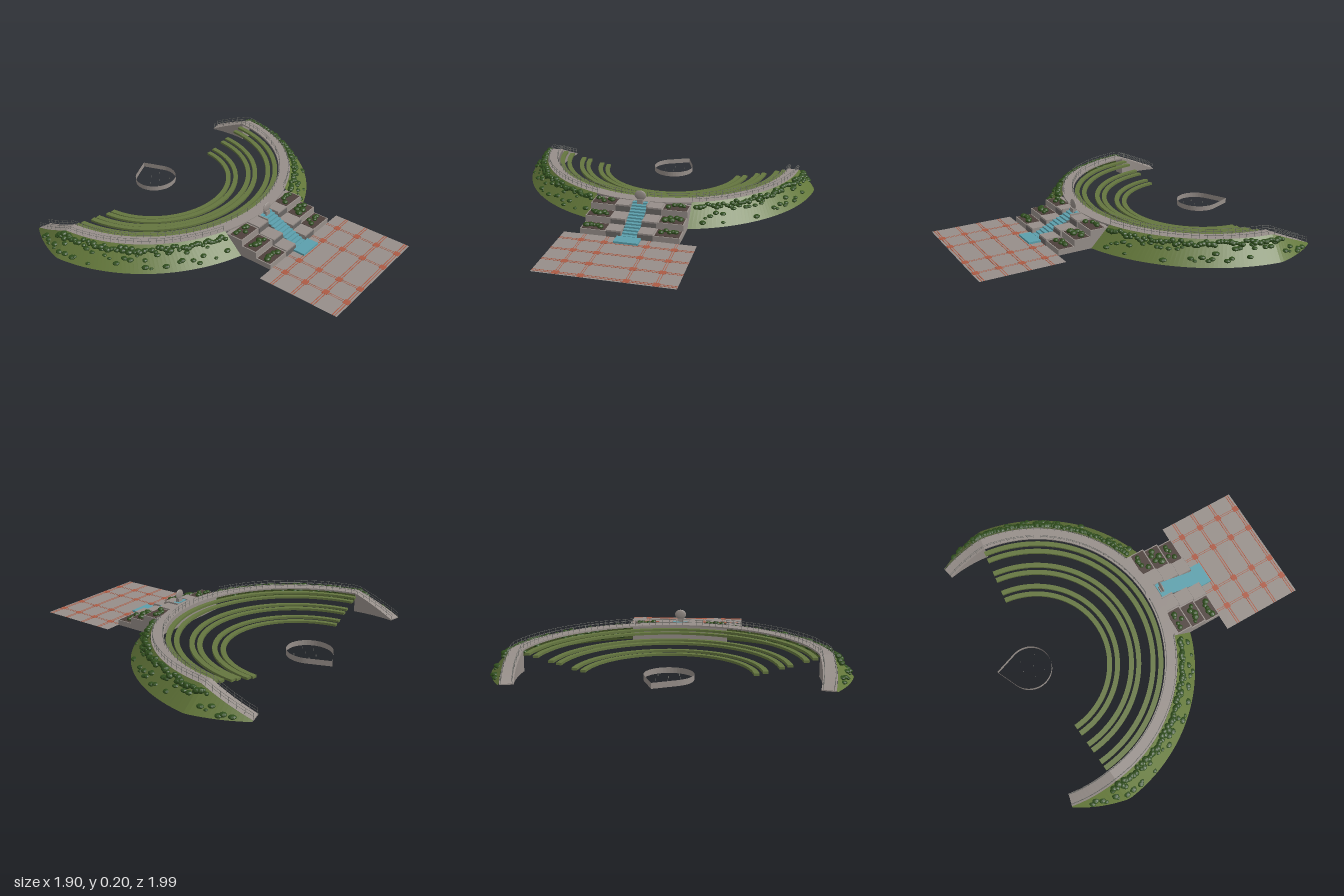
import * as THREE from 'three';

const CX = -0.74, H = 0.125, D = Math.PI / 180;
const RAMP = 84 * D, END = 103 * D;          // where the walkway starts to fall, and where it lands

const mat = (name, color, opts = {}) => Object.assign(new THREE.MeshStandardMaterial({ color, ...opts }), { name });

// Walkway height at an angle from the axis
const heightAt = (a) => {
  const t = Math.max(0, (Math.abs(a) - RAMP) / (END - RAMP));
  return H + (0.006 - H) * Math.min(1, t);
};

// Sweeps a cross-section of [radius, height, angle?] points around the centre of the theatre
function sweep(section, a0, a1, n, closed = true) {
  const pos = [];
  const rows = [];
  for (let i = 0; i <= n; i++) {
    const a = a0 + (a1 - a0) * i / n;
    rows.push(section(a, i / n).map(([r, y, b = a]) => [CX + r * Math.cos(b), y, r * Math.sin(b)]));
  }
  const m = rows[0].length;
  const tri = (a, b, c) => pos.push(...a, ...b, ...c);
  for (let i = 0; i < n; i++) {
    for (let j = 0; j < (closed ? m : m - 1); j++) {
      const k = (j + 1) % m;
      tri(rows[i][j], rows[i][k], rows[i + 1][k]);
      tri(rows[i][j], rows[i + 1][k], rows[i + 1][j]);
    }
  }
  if (closed) {
    for (let j = 1; j < m - 1; j++) {
      tri(rows[0][0], rows[0][j + 1], rows[0][j]);
      tri(rows[n][0], rows[n][j], rows[n][j + 1]);
    }
  }
  const g = new THREE.BufferGeometry();
  g.setAttribute('position', new THREE.Float32BufferAttribute(pos, 3));
  g.computeVertexNormals();
  return g;
}

export function createModel() {
  const model = new THREE.Group();
  model.name = 'amphitheatre';
  const both = { side: THREE.DoubleSide };
  const concrete = mat('concrete', 0x968e89, both);
  const darkStone = mat('darkStone', 0x6a6664);
  const grass = mat('grass', 0x63773a, both);
  const terrace = mat('terraceGrass', 0x64753f);
  const leaf = mat('leaf', 0x2f4d1d, { flatShading: true });
  const soil = mat('soil', 0x4d403b);
  const water = mat('water', 0x5b9fac);
  const brick = mat('brick', 0xac5a44);
  const metal = mat('metal', 0x6f706c);

  const add = (name, geo, material, parent = model) => {
    const mesh = new THREE.Mesh(geo, material);
    mesh.name = name;
    parent.add(mesh);
    return mesh;
  };
  // Box given by its limits
  const box = (name, x0, x1, y0, y1, z0, z1, material, parent = model) => {
    const mesh = add(name, new THREE.BoxGeometry(x1 - x0, y1 - y0, z1 - z0), material, parent);
    mesh.position.set((x0 + x1) / 2, (y0 + y1) / 2, (z0 + z1) / 2);
    return mesh;
  };
  let seed = 7;
  const rnd = () => (seed = (seed * 16807) % 2147483647) / 2147483647;
  const bushGeo = new THREE.IcosahedronGeometry(1, 1);
  const bush = (x, y, z, s, flat, parent) => {
    const b = add('bush', bushGeo, leaf, parent);
    b.position.set(x, y, z);
    b.scale.set(s, s * flat, s * (0.85 + 0.3 * rnd()));
    b.rotation.y = rnd() * 6;
  };

  // Seating terraces: three pairs of curved strips, rising outwards
  [0.457, 0.506, 0.592, 0.637, 0.724, 0.771].forEach((r, i) => {
    const top = [0.025, 0.035, 0.06, 0.07, 0.095, 0.107][i];
    const s = [[r + 0.03, top - 0.014], [r + 0.03, top], [r, top], [r, top - 0.014]];
    add('terrace', sweep(() => s, -84.8 * D, 84.8 * D, 72), terrace);
  });

  // Raised walkway
  const deck = (a) => [[0.885, H - 0.01], [0.885, H], [0.81, H], [0.81, H - 0.01]];
  add('walkway', sweep(deck, -RAMP, RAMP, 80), concrete);

  // Railing along a given radius
  const railing = (r, a0, a1, parent) => {
    const at = (a, up) => new THREE.Vector3(CX + r * Math.cos(a), heightAt(a) + up, r * Math.sin(a));
    const n = Math.round((a1 - a0) / (3 * D));
    for (const up of [0.017, 0.033]) {
      const pts = Array.from({ length: n + 1 }, (_, i) => at(a0 + (a1 - a0) * i / n, up));
      add('handrail', new THREE.TubeGeometry(new THREE.CatmullRomCurve3(pts), n * 2, 0.0012, 4), metal, parent);
    }
    const post = new THREE.CylinderGeometry(0.0013, 0.0013, 0.033, 5);
    for (let i = 0; i <= n; i++) add('railPost', post, metal, parent).position.copy(at(a0 + (a1 - a0) * i / n, 0.0165));
  };

  // Both wings: ramp, bank, railings and planting
  for (const side of [1, -1]) {
    const wing = new THREE.Group();
    wing.name = side > 0 ? 'frontWing' : 'backWing';
    wing.scale.z = side;
    model.add(wing);

    const ramp = (a) => [[0.885, 0], [0.885, heightAt(a)], [0.81, heightAt(a)], [0.81, 0]];
    add('ramp', sweep(ramp, RAMP, END, 12), concrete, wing);

    const foot = (a) => 0.886 + 0.115 * heightAt(a) / H;
    const bank = (a, u) => {
      const from = (r) => { const s = Math.asin(0.3 / r); return s + (END - s) * u; };
      const b = from(0.886), rf = foot(b);
      return [[rf, 0, from(rf)], [0.886, heightAt(b), b]];
    };
    add('grassBank', sweep(bank, 0, 1, 60, false), grass, wing);

    railing(0.876, 20 * D, END, wing);
    railing(0.818, 1.5 * D, END, wing);

    // hedge at the top of the bank
    for (let i = 0; i < 62; i++) {
      const a = (21 + 67 * (i + 0.5 * rnd()) / 62) * D, r = 0.903 + 0.022 * rnd();
      bush(CX + r * Math.cos(a), heightAt(a) - (r - 0.9) - 0.004, r * Math.sin(a), 0.014 + 0.008 * rnd(), 0.75, wing);
    }
    // shrubs scattered over the slope
    for (let i = 0; i < 38; i++) {
      const a = (21 + 76 * (i + rnd()) / 38) * D, k = 0.25 + 0.6 * rnd();
      const r = 0.886 + (foot(a) - 0.886) * k;
      bush(CX + r * Math.cos(a), heightAt(a) * (1 - k), r * Math.sin(a), 0.012 + 0.011 * rnd(), 0.55, wing);
    }

    // stepped planters with soil and shrubs
    [[0.1, 0.22, 0.112], [0.22, 0.325, 0.073], [0.325, 0.43, 0.034]].forEach(([x0, x1, y]) => {
      box('planter', x0, x1, 0, y, 0.14, 0.3, concrete, wing);
      const s0 = Math.max(x0, 0.12) + 0.007;
      box('plantingBed', s0, x1 - 0.007, y, y + 0.002, 0.15, 0.293, soil, wing);
      for (let i = 0; i < 5; i++) {
        bush(s0 + 0.02 + rnd() * (x1 - s0 - 0.047), y + 0.009, 0.175 + 0.022 * i + 0.01 * rnd(), 0.013 + 0.009 * rnd(), 0.7, wing);
      }
    });

    // landings beside the cascade, with dark risers
    [[0.1, 0.225, 0.121], [0.225, 0.335, 0.078], [0.335, 0.43, 0.042]].forEach(([x0, x1, y]) => {
      box('landing', x0, x1, 0, y, 0.05, 0.14, concrete, wing);
      box('riser', x1, x1 + 0.003, 0, y - 0.008, 0.05, 0.14, darkStone, wing);
    });
    box('cascadeKerb', 0.15, 0.225, 0.115, 0.131, 0.048, 0.055, concrete, wing);
  }

  // Water cascade and pool
  const steps = 12;
  box('cascadeHead', 0.1, 0.165, 0, 0.123, -0.05, 0.05, concrete);
  for (let i = 0; i < steps; i++) {
    const x = 0.155 + 0.275 * i / steps, y = 0.127 - 0.112 * i / (steps - 1);
    box('cascadeStep', x, x + 0.275 / steps, 0, y - 0.004, -0.049, 0.049, darkStone);
    box('waterTread', x + 0.002, x + 0.275 / steps, y - 0.004, y, -0.047, 0.047, water);
    box('waterFall', x + 0.275 / steps, x + 0.275 / steps + 0.002, y - 0.013, y, -0.047, 0.047, water);
  }
  box('pool', 0.43, 0.51, 0, 0.013, -0.073, 0.073, water);

  // Fan ornament at the head of the cascade
  box('ornamentBase', 0.165, 0.188, 0.12, 0.148, -0.018, 0.018, concrete);
  const fan = add('fanOrnament', new THREE.SphereGeometry(1, 16, 12), concrete);
  fan.scale.set(0.008, 0.031, 0.036);
  fan.position.set(0.176, 0.173, 0);

  // Paved plaza with brick lines and squares
  const plaza = add('plaza', new THREE.PlaneGeometry(0.52, 0.8), concrete);
  plaza.rotation.x = -Math.PI / 2;
  plaza.position.set(0.69, 0.0005, 0);
  const xs = [0.512, 0.652, 0.79, 0.928], zs = [-0.287, -0.125, 0.125, 0.265];
  for (const x of xs) {
    for (const o of [-0.007, 0.007]) box('brickLine', x + o - 0.0025, x + o + 0.0025, 0.0005, 0.0015, -0.4, 0.4, brick);
    for (const z of zs) box('brickSquare', x - 0.018, x + 0.018, 0, 0.002, z - 0.018, z + 0.018, brick);
  }
  for (const z of zs) {
    for (const o of [-0.006, 0.006]) box('crossLine', 0.43, 0.95, 0.0005, 0.0013, z + o - 0.0015, z + o + 0.0015, brick);
  }

  // Low stage wall: a round sheet drawn out to a point
  const tip = new THREE.Vector2(-0.95, -0.07), c = new THREE.Vector2(-0.765, 0.005), R = 0.135;
  const axis = Math.atan2(tip.y - c.y, tip.x - c.x), open = Math.acos(R / tip.distanceTo(c));
  const outline = [tip];
  for (let i = 0; i <= 32; i++) {
    const a = axis + open + (2 * Math.PI - 2 * open) * i / 32;
    outline.push(new THREE.Vector2(c.x + R * Math.cos(a), c.y + R * Math.sin(a)));
  }
  outline.forEach((p, i) => {
    const q = outline[(i + 1) % outline.length];
    const wall = add('stageWall', new THREE.PlaneGeometry(p.distanceTo(q), 0.032), concrete);
    wall.position.set((p.x + q.x) / 2, 0.016, (p.y + q.y) / 2);
    wall.rotation.y = -Math.atan2(q.y - p.y, q.x - p.x);
  });
  // Small jets on the stage
  const jet = new THREE.CylinderGeometry(0.002, 0.002, 0.012, 5);
  for (const [x, z] of [[-0.8, -0.065], [-0.7, -0.06], [-0.76, 0.065], [-0.69, 0.055], [-0.81, 0], [-0.74, 0]]) {
    add('jet', jet, metal).position.set(x, 0.006, z);
  }
  return model;
}
